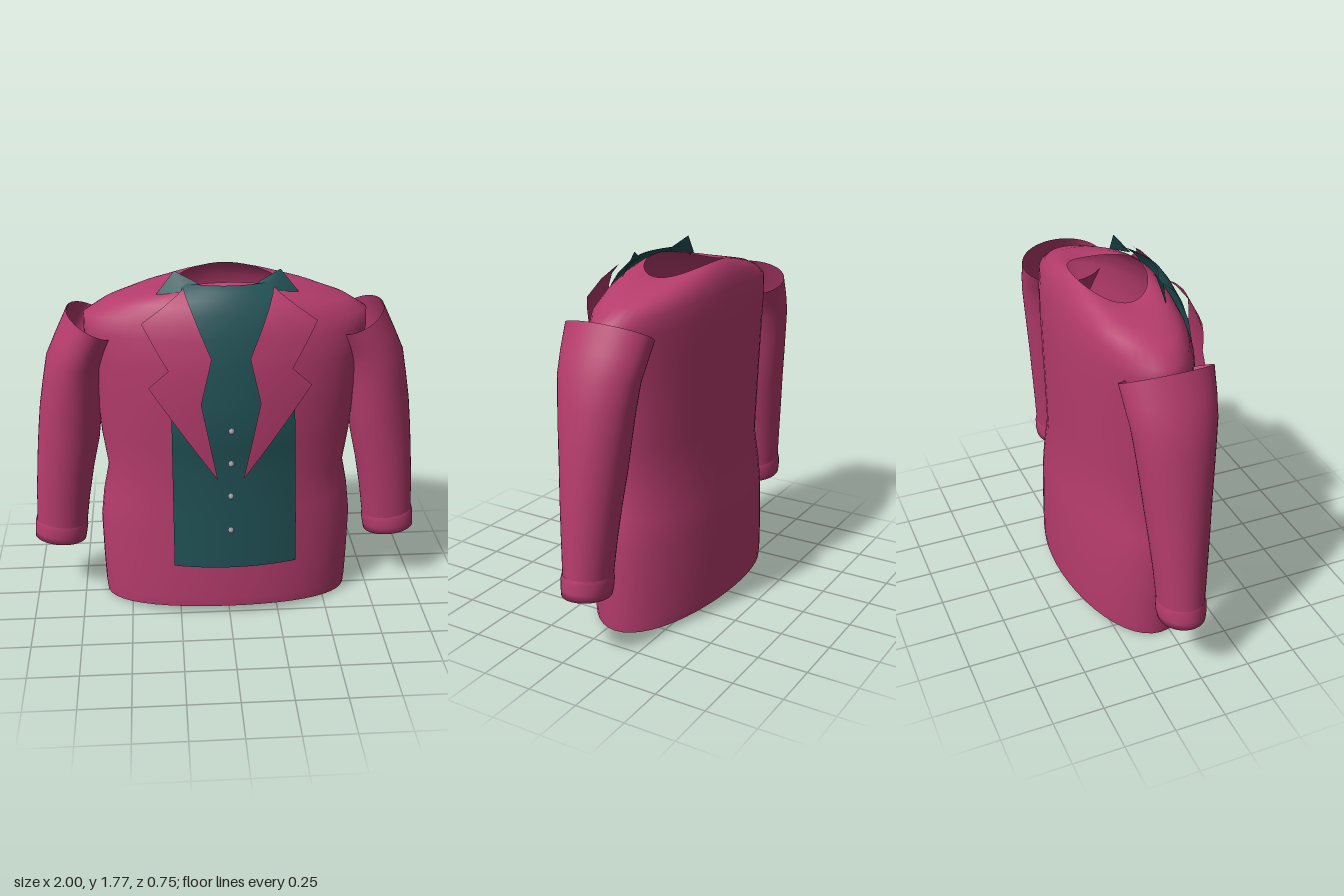
import * as THREE from 'three';

const mat = (name, color, side = THREE.DoubleSide) => {
  const m = new THREE.MeshStandardMaterial({ color, side });
  m.name = name;
  return m;
};

// Grid of points to a smooth surface; closed joins the last column to the first
function surface(name, rows, material, closed) {
  const n = rows[0].length, index = [];
  for (let i = 0; i < rows.length - 1; i++) {
    for (let j = 0; j < (closed ? n : n - 1); j++) {
      const k = (j + 1) % n;
      const a = i * n + j, b = i * n + k, c = a + n, d = b + n;
      index.push(a, b, d, a, d, c);
    }
  }
  const g = new THREE.BufferGeometry();
  g.setAttribute('position', new THREE.Float32BufferAttribute(rows.flat(2), 3));
  g.setIndex(index);
  g.computeVertexNormals();
  const mesh = new THREE.Mesh(g, material);
  mesh.name = name;
  return mesh;
}

const SIDES = 48;
const ring = (f) => Array.from({ length: SIDES }, (_, j) => {
  const t = (j / SIDES) * Math.PI * 2;
  return f(Math.sin(t), Math.cos(t));
});

// Torso ring: half width, front z, back z, y at the sides, y at front and back
const torsoRing = ([w, zf, zb, ys, ym]) => ring((s, c) =>
  [w * s, ys + (ym - ys) * c * c, (zf + zb) / 2 + c * (zf - zb) / 2]);

// Sleeve ring: outer x, y; inner x, y; half depth
const sleeveRing = ([ox, oy, ix, iy, hz]) => ring((s, c) =>
  [(ox + ix) / 2 + s * (ox - ix) / 2, (oy + iy) / 2 + s * (oy - iy) / 2, -0.055 + c * hz]);

// Curved cloth panel, rows from bottom to top: y, x start, x end, z at the middle, bow
const panel = (name, rows, material, cols = 10) => surface(name, rows.map(([y, x0, x1, z, k]) =>
  Array.from({ length: cols + 1 }, (_, j) => {
    const x = x0 + (x1 - x0) * j / cols;
    return [x, y, z - k * x * x];
  })), material, false);

export function createModel() {
  const model = new THREE.Group();
  model.name = 'jacket';
  const cloth = mat('jacketCloth', 0xb53c6c);
  const shirtCloth = mat('shirtCloth', 0x215256);
  const metal = mat('buttonGrey', 0x8f8f99, THREE.FrontSide);

  // Torso, open at the hem and the neck
  model.add(surface('torso', [
    [0.635, 0.275, -0.37, 0, 0.05],
    [0.64, 0.28, -0.373, 0.06, 0.1],
    [0.645, 0.275, -0.37, 0.22, 0.24],
    [0.648, 0.27, -0.362, 0.44, 0.45],
    [0.63, 0.265, -0.35, 0.59, 0.59],
    [0.6, 0.26, -0.332, 0.74, 0.76],
    [0.625, 0.265, -0.332, 0.92, 0.95],
    [0.64, 0.27, -0.336, 1.12, 1.15],
    [0.665, 0.262, -0.336, 1.32, 1.36],
    [0.69, 0.235, -0.328, 1.46, 1.5],
    [0.69, 0.2, -0.315, 1.54, 1.59],
    [0.6, 0.175, -0.3, 1.595, 1.645],
    [0.47, 0.15, -0.28, 1.64, 1.685],
    [0.35, 0.12, -0.258, 1.665, 1.71],
    [0.27, 0.1, -0.24, 1.67, 1.722],
  ].map(torsoRing), cloth, true));

  // Sleeves and cuffs
  const sleeveRows = [
    [0.985, 0.42, 0.728, 0.385, 0.111],
    [0.975, 0.6, 0.705, 0.55, 0.124],
    [0.96, 0.78, 0.675, 0.72, 0.14],
    [0.945, 0.93, 0.64, 0.88, 0.155],
    [0.928, 1.07, 0.622, 1.03, 0.17],
    [0.905, 1.2, 0.608, 1.17, 0.185],
    [0.88, 1.33, 0.59, 1.29, 0.2],
    [0.83, 1.44, 0.56, 1.36, 0.212],
    [0.77, 1.565, 0.52, 1.43, 0.221],
  ].map(sleeveRing);
  const cuffRows = [
    [0.98, 0.345, 0.752, 0.315, 0.1],
    [1.0, 0.33, 0.738, 0.3, 0.11],
    [0.998, 0.365, 0.731, 0.335, 0.116],
    [0.994, 0.41, 0.724, 0.375, 0.117],
    [0.988, 0.432, 0.725, 0.398, 0.112],
  ].map(sleeveRing);

  // Notched lapel, lying over the shirt
  const lapelRows = [
    [0.8, 0.063, 0.066, 0.312, 0.3],
    [0.95, 0.092, 0.167, 0.325, 0.33],
    [1.08, 0.117, 0.256, 0.331, 0.35],
    [1.2, 0.14, 0.337, 0.332, 0.35],
    [1.27, 0.124, 0.385, 0.331, 0.35],
    [1.36, 0.103, 0.29, 0.327, 0.35],
    [1.42, 0.09, 0.326, 0.318, 0.35],
    [1.5, 0.123, 0.371, 0.304, 0.35],
    [1.57, 0.152, 0.41, 0.287, 0.35],
    [1.64, 0.181, 0.31, 0.252, 0.4],
    [1.69, 0.202, 0.239, 0.212, 0.6],
    [1.712, 0.209, 0.212, 0.19, 0.9],
  ];

  // Pointed shirt collar flap
  const collarRows = [
    [[0.2, 1.69, 0.13], [0.34, 1.66, 0.08]],
    [[0.14, 1.722, 0.105], [0.25, 1.772, 0.065]],
  ];

  for (const side of [1, -1]) {
    const half = new THREE.Group();
    half.name = side > 0 ? 'leftSide' : 'rightSide';
    half.scale.x = side;
    half.add(
      surface('sleeve', sleeveRows, cloth, true),
      surface('cuff', cuffRows, cloth, true),
      panel('lapel', lapelRows, cloth),
      surface('collar', collarRows, shirtCloth, false));
    model.add(half);
  }

  // Shirt front, slightly wider on its left
  model.add(panel('shirtFront', [
    [0.3, -0.28, 0.335, 0.308, 0.45],
    [0.55, -0.28, 0.33, 0.3, 0.42],
    [0.8, -0.28, 0.322, 0.292, 0.4],
    [0.95, -0.28, 0.317, 0.305, 0.4],
    [1.05, -0.28, 0.313, 0.316, 0.45],
    [1.17, -0.28, 0.308, 0.31, 0.45],
    [1.35, -0.25, 0.26, 0.296, 0.45],
    [1.5, -0.24, 0.24, 0.27, 0.45],
    [1.6, -0.23, 0.23, 0.238, 0.5],
    [1.66, -0.225, 0.225, 0.213, 0.8],
    [1.7, -0.22, 0.22, 0.185, 1.2],
    [1.722, -0.215, 0.215, 0.155, 1.4],
  ], shirtCloth, 16));

  // Buttons down the middle
  const buttonShape = new THREE.SphereGeometry(0.015, 16, 12);
  for (const [y, z] of [[0.53, 0.335], [0.715, 0.33], [0.895, 0.34], [1.075, 0.36]]) {
    const button = new THREE.Mesh(buttonShape, metal);
    button.name = 'button';
    button.position.set(0, y, z);
    button.scale.z = 1.25;
    model.add(button);
  }
  return model;
}
